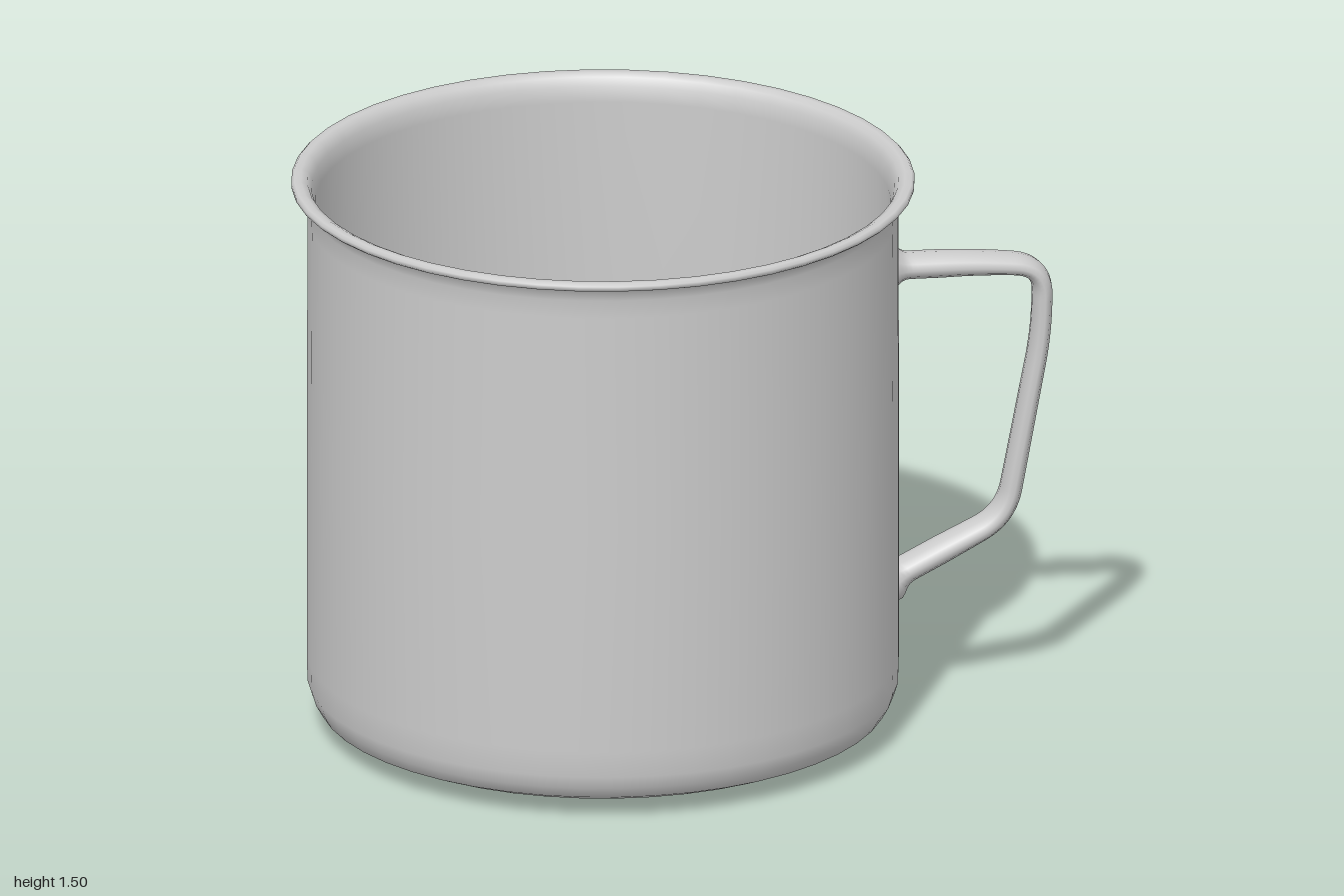
import * as THREE from 'three';
import { mergeVertices } from 'three/addons/utils/BufferGeometryUtils.js';

const grey = new THREE.MeshStandardMaterial({ color: 0xcccccc });
const CENTER_X = -0.19;

// Thin-walled cup: outer skin upwards, rolled rim, inner skin down to the floor
function createCup() {
  const profile = [
    [0, 0.005], [0.3, 0.012], [0.61, 0.03], [0.69, 0.043], [0.74, 0.065], [0.757, 0.095], [0.768, 0.13],
    [0.77, 0.2], [0.77, 0.8], [0.768, 1.4], [0.77, 1.45], [0.778, 1.477], [0.79, 1.487],
    [0.803, 1.488], [0.81, 1.494], [0.81, 1.503], [0.803, 1.51], [0.785, 1.51],
    [0.768, 1.502], [0.757, 1.48], [0.748, 1.44], [0.747, 0.8], [0.747, 0.15],
    [0.735, 0.105], [0.7, 0.075], [0.6, 0.055], [0.3, 0.037], [0, 0.03],
  ].map(([r, y]) => new THREE.Vector2(r, y));
  const cup = new THREE.Mesh(new THREE.LatheGeometry(profile, 48), grey);
  cup.name = 'cup';
  cup.position.x = CENTER_X;
  return cup;
}

// Straight runs joined by rounded corners
function roundedPath(points, radius) {
  const path = new THREE.CurvePath();
  const v = points.map(([x, y]) => new THREE.Vector3(x, y, 0));
  let from = v[0];
  for (let i = 1; i < v.length - 1; i++) {
    const a = v[i].clone().add(v[i - 1].clone().sub(v[i]).setLength(radius));
    const b = v[i].clone().add(v[i + 1].clone().sub(v[i]).setLength(radius));
    path.add(new THREE.LineCurve3(from, a));
    path.add(new THREE.QuadraticBezierCurve3(a, v[i], b));
    from = b;
  }
  path.add(new THREE.LineCurve3(from, v[v.length - 1]));
  return path;
}

// Flattened tube handle, widening where it meets the wall
function createHandle() {
  const path = roundedPath(
    [[0.56, 1.213], [0.8, 1.208], [0.972, 1.19], [0.966, 1.0], [0.873, 0.505], [0.56, 0.347]], 0.08);
  const rings = 120, sides = 12;
  let geometry = new THREE.TubeGeometry(path, rings, 1, sides, false);
  const pos = geometry.attributes.position;
  const p = new THREE.Vector3();
  for (let i = 0; i <= rings; i++) {
    const c = path.getPointAt(i / rings);
    const flare = Math.pow(THREE.MathUtils.clamp((0.615 - c.x) / 0.04, 0, 1), 2);
    const end = THREE.MathUtils.clamp((0.95 - c.x) / 0.25, 0, 1);
    const thick = 0.026 + 0.008 * end + 0.028 * flare;
    const wide = 0.055 + 0.018 * flare;
    for (let j = 0; j <= sides; j++) {
      const k = i * (sides + 1) + j;
      p.fromBufferAttribute(pos, k).sub(c);
      pos.setXYZ(k, c.x + p.x * thick, c.y + p.y * thick, p.z * wide);
    }
  }
  geometry.deleteAttribute('uv');
  geometry.deleteAttribute('normal');
  geometry = mergeVertices(geometry);
  geometry.computeVertexNormals();
  const handle = new THREE.Mesh(geometry, grey);
  handle.name = 'handle';
  return handle;
}

export function createModel() {
  const mug = new THREE.Group();
  mug.name = 'mug';
  mug.add(createCup(), createHandle());
  return mug;
}
